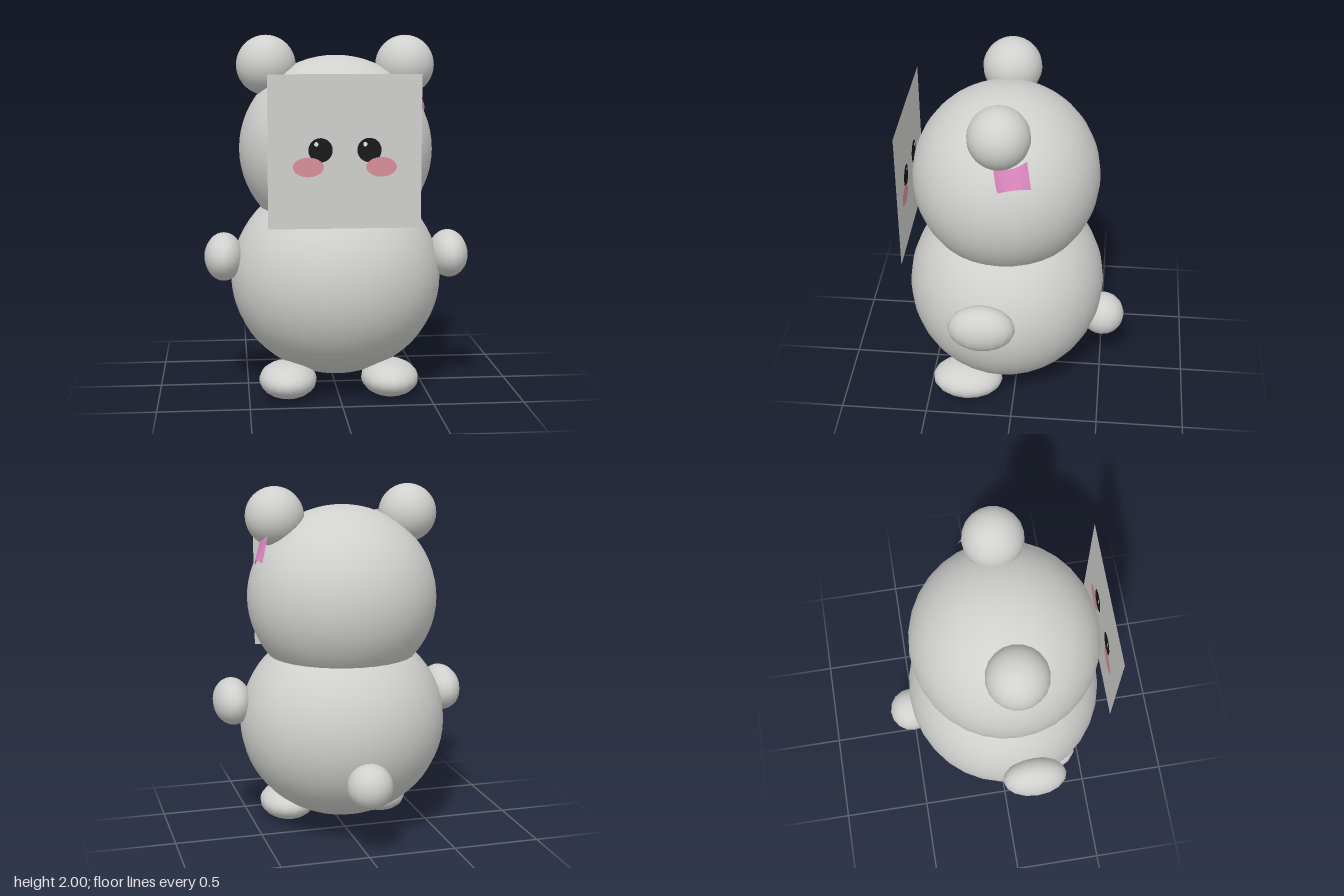
import * as THREE from 'three';

const material = (name, color, side = THREE.FrontSide) => {
  const m = new THREE.MeshStandardMaterial({ color, side });
  m.name = name;
  return m;
};

export function createModel() {
  const model = new THREE.Group();
  model.name = 'bear';
  const fur = material('light grey fur', 0xd0d0ce, THREE.DoubleSide);
  const black = material('eye black', 0x1a1a1a, THREE.DoubleSide);
  const white = material('eye glint white', 0xf4f4f4, THREE.DoubleSide);
  const blush = material('blush pink', 0xdb8f9b, THREE.DoubleSide);
  const pink = material('bow pink', 0xdd88c0, THREE.DoubleSide);

  const add = (name, geometry, mat, x, y, z) => {
    const mesh = new THREE.Mesh(geometry, mat);
    mesh.name = name;
    mesh.position.set(x, y, z);
    model.add(mesh);
    return mesh;
  };
  const ball = (name, [x, y, z], [rx, ry, rz], segments = 16) =>
    add(name, new THREE.SphereGeometry(1, segments, segments), fur, x, y, z).scale.set(rx, ry, rz);

  // Body, head and tail
  ball('body', [0, 0.65, 0.065], [0.592, 0.56, 0.562], 32);
  ball('head', [0, 1.37, 0.065], [0.54, 0.52, 0.52], 32);
  ball('tail', [0, 0.415, -0.503], [0.127, 0.127, 0.127]);

  // Paired ears, arms and feet
  for (const [side, s] of [['left', 1], ['right', -1]]) {
    ball(side + 'Ear', [s * 0.387, 1.835, 0.065], [0.165, 0.165, 0.165], 20);
    ball(side + 'Arm', [s * 0.632, 0.778, 0.145], [0.108, 0.133, 0.183]);
    ball(side + 'Foot', [s * 0.285, 0.103, 0.275], [0.16, 0.1, 0.206]);
  }

  // Flat face panel, with features showing on both of its sides
  const faceZ = 0.607;
  add('facePanel', new THREE.PlaneGeometry(0.8, 0.8), fur, 0, 1.4, faceZ);
  const spot = (name, mat, x, y, rx, ry, lift) => {
    for (const f of [1, -1]) {
      add(name, new THREE.CircleGeometry(1, 32), mat, x, y, faceZ + f * lift).scale.set(rx, ry, 1);
    }
  };
  for (const s of [1, -1]) {
    spot('eye', black, s * 0.127, 1.41, 0.063, 0.063, 0.003);
    spot('eyeGlint', white, s * 0.127 - 0.022, 1.441, 0.011, 0.012, 0.006);
    spot('cheek', blush, s * 0.19, 1.322, 0.08, 0.051, 0.0045);
  }

  // Curved bow, pinched in the middle, below the left ear
  const bow = new THREE.PlaneGeometry(2, 2, 12, 4);
  const p = bow.attributes.position;
  for (let i = 0; i < p.count; i++) {
    const u = p.getX(i), v = p.getY(i);
    const half = 0.052 + 0.022 * u * u;
    p.setXYZ(i,
      0.497 - 0.02 * u * u - 0.018 * v,
      1.657 + 0.017 * u + v * half,
      -0.01 - 0.088 * u + 0.012 * v);
  }
  bow.computeVertexNormals();
  add('bow', bow, pink, 0, 0, 0);

  return model;
}
